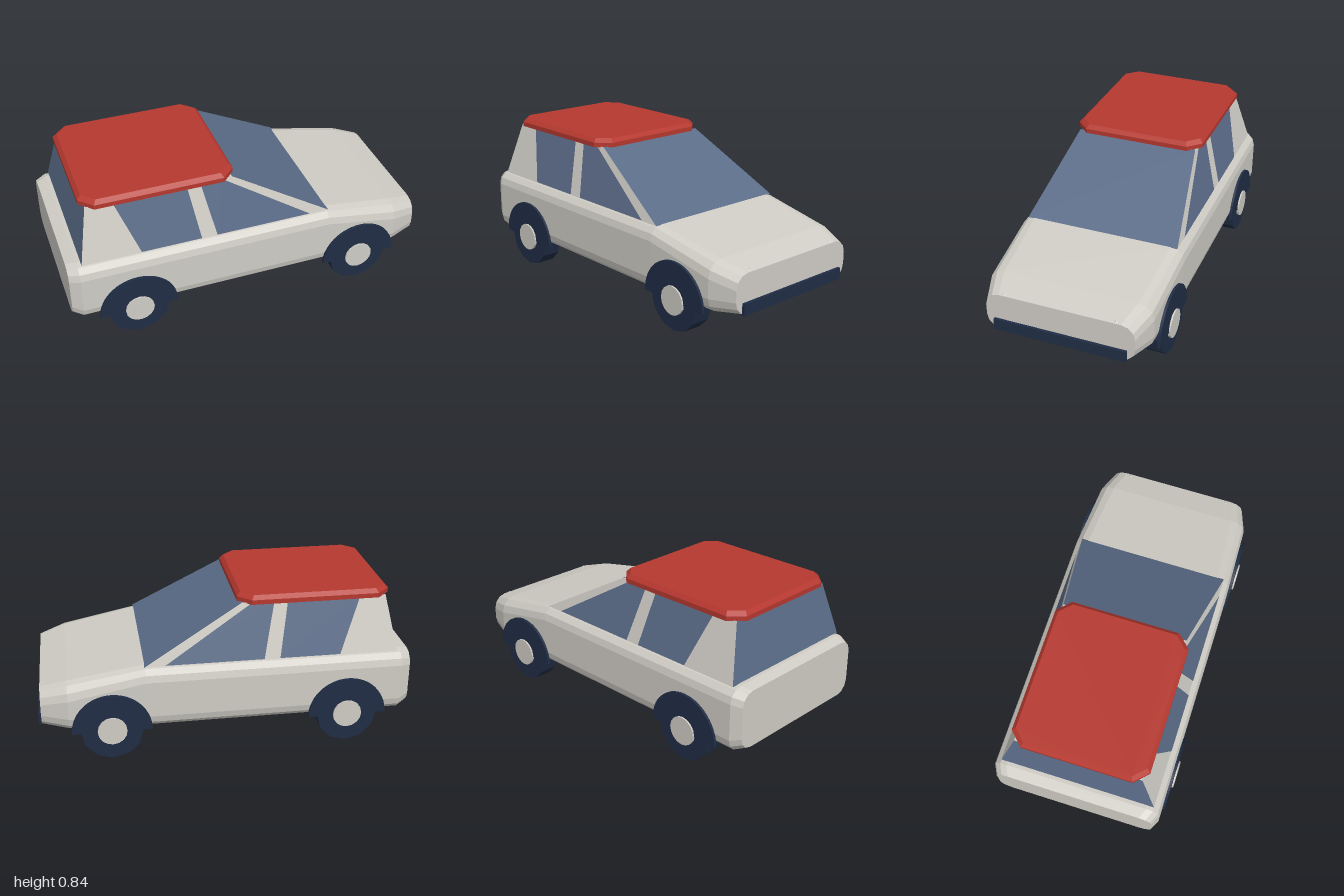
import * as THREE from 'three';

const mat = (name, color, side = THREE.FrontSide) => {
  const m = new THREE.MeshStandardMaterial({ color, flatShading: true, side });
  m.name = name;
  return m;
};

// Flat-faced geometry from a list of convex polygons (counter-clockwise corners)
function faces(polys) {
  const pos = [];
  for (const p of polys)
    for (let i = 1; i < p.length - 1; i++) pos.push(...p[0], ...p[i], ...p[i + 1]);
  const g = new THREE.BufferGeometry();
  g.setAttribute('position', new THREE.Float32BufferAttribute(pos, 3));
  g.computeVertexNormals();
  return g;
}

// Rounded rectangle cross-section at x, counter-clockwise seen from +x
function section([x, hw, y0, y1, r]) {
  const pts = [], segs = 3;
  const corners = [[-1, y1 - r], [1, y1 - r], [1, y0 + r], [-1, y0 + r]];
  corners.forEach(([s, cy], k) => {
    for (let i = 0; i <= segs; i++) {
      const t = (k + i / segs) * Math.PI / 2;
      pts.push([x, cy + r * Math.sin(t), s * (hw - r) - r * Math.cos(t)]);
    }
  });
  return pts;
}

// Skin a row of closed sections running toward +x, with both ends capped
function loft(rings) {
  const polys = [[...rings[0]].reverse(), rings[rings.length - 1]];
  for (let i = 0; i < rings.length - 1; i++)
    rings[i].forEach((a, j) => {
      const k = (j + 1) % rings[i].length;
      polys.push([a, rings[i][k], rings[i + 1][k], rings[i + 1][j]]);
    });
  return faces(polys);
}

export function createModel() {
  const car = new THREE.Group();
  car.name = 'car';
  const paint = mat('warm grey paint', 0xcfccc5);
  const glass = mat('blue grey glass', 0x5b6c88, THREE.DoubleSide);
  const navy = mat('dark navy', 0x202d45);
  const red = mat('red roof', 0xb5382f);
  const add = (name, geo, material, x = 0, y = 0, z = 0) => {
    const m = new THREE.Mesh(geo, material);
    m.name = name;
    m.position.set(x, y, z);
    car.add(m);
    return m;
  };

  // Lower body: x, half width, bottom, top, corner radius
  add('body', loft([
    [-1, 0.435, 0.175, 0.485, 0.07],
    [-0.945, 0.463, 0.152, 0.5, 0.075],
    [0.43, 0.463, 0.152, 0.5, 0.075],
    [0.84, 0.45, 0.152, 0.425, 0.085],
    [0.982, 0.403, 0.172, 0.384, 0.075],
  ].map(section)), paint);

  // Cabin: tapered walls with full-width glass at both ends
  const yB = 0.498, yT = 0.795;
  const wallZ = y => 0.425 + (0.34 - 0.425) * (y - yB) / (yT - yB);
  const corner = (x, y, s, out = 0) => [x, y, s * (wallZ(y) + out)];
  const rB = -0.925, rT = -0.865, fB = 0.435, fT = -0.09;
  const sidePoly = (pts, s, out) => {
    const p = pts.map(([x, y]) => corner(x, y, s, out));
    return s > 0 ? p : p.reverse();
  };
  const wall = [[rB, yB], [fB, yB], [fT, yT], [rT, yT]];
  add('cabinWalls', faces([sidePoly(wall, 1), sidePoly(wall, -1)]), paint);
  add('windshield', faces([[corner(fB, yB, 1), corner(fB, yB, -1),
    corner(fT, yT, -1), corner(fT, yT, 1)]]), glass);
  add('rearWindow', faces([[corner(rB, yB, -1), corner(rB, yB, 1),
    corner(rT, yT, 1), corner(rT, yT, -1)]]), glass);

  // Side windows lie just proud of the walls
  const windows = {
    rearSideWindow: [[-0.61, 0.502], [-0.285, 0.502], [-0.335, 0.793], [-0.725, 0.793]],
    frontSideWindow: [[-0.2, 0.502], [0.325, 0.502], [-0.145, 0.793], [-0.262, 0.793]],
  };
  for (const [name, pts] of Object.entries(windows))
    add(name, faces([sidePoly(pts, 1, 0.003), sidePoly(pts, -1, 0.003)]), glass);

  // Roof slab with clipped corners and a bevelled upper edge
  const octagon = (y, inset) => {
    const x0 = -0.89 + inset, x1 = -0.07 - inset, z = 0.366 - inset, c = 0.07 - inset * 0.4;
    return [[x0, z - c], [x0 + c, z], [x1 - c, z], [x1, z - c],
      [x1, c - z], [x1 - c, -z], [x0 + c, -z], [x0, c - z]].map(([x, w]) => [x, y, w]);
  };
  const rings = [octagon(0.79, 0), octagon(0.815, 0), octagon(0.836, 0.02)];
  const roof = [[...rings[0]].reverse(), rings[2]];
  for (let i = 0; i < 2; i++)
    for (let j = 0; j < 8; j++) {
      const k = (j + 1) % 8;
      roof.push([rings[i][j], rings[i][k], rings[i + 1][k], rings[i + 1][j]]);
    }
  add('roof', faces(roof), red);

  // Front bumper bar
  add('frontBumper', new THREE.BoxGeometry(0.02, 0.063, 0.72), navy, 0.988, 0.204, 0);

  // Wheels, hubs and half-round arches
  const tyre = new THREE.CylinderGeometry(0.165, 0.165, 0.105, 12).rotateX(Math.PI / 2);
  const hub = new THREE.CylinderGeometry(0.078, 0.078, 0.03, 16).rotateX(Math.PI / 2);
  const arc = new THREE.Shape();
  arc.absarc(0, 0, 0.212, 0, Math.PI, false);
  arc.closePath();
  const arch = new THREE.ExtrudeGeometry(arc, { depth: 0.014, bevelEnabled: false, curveSegments: 14 })
    .translate(0, 0, -0.007);
  for (const s of [1, -1]) {
    for (const [end, x] of [['rear', -0.652], ['front', 0.616]]) {
      add(end + 'Wheel', tyre, navy, x, 0.165, s * 0.418);
      add(end + 'Hub', hub, paint, x, 0.167, s * 0.47);
      add(end + 'Arch', arch, navy, x, 0.16, s * 0.469);
    }
    // Small raised stud on the bonnet's leading edge
    add('bonnetStud', new THREE.ConeGeometry(0.02, 0.012, 4), paint, 0.965, 0.389, s * 0.3);
  }
  return car;
}
